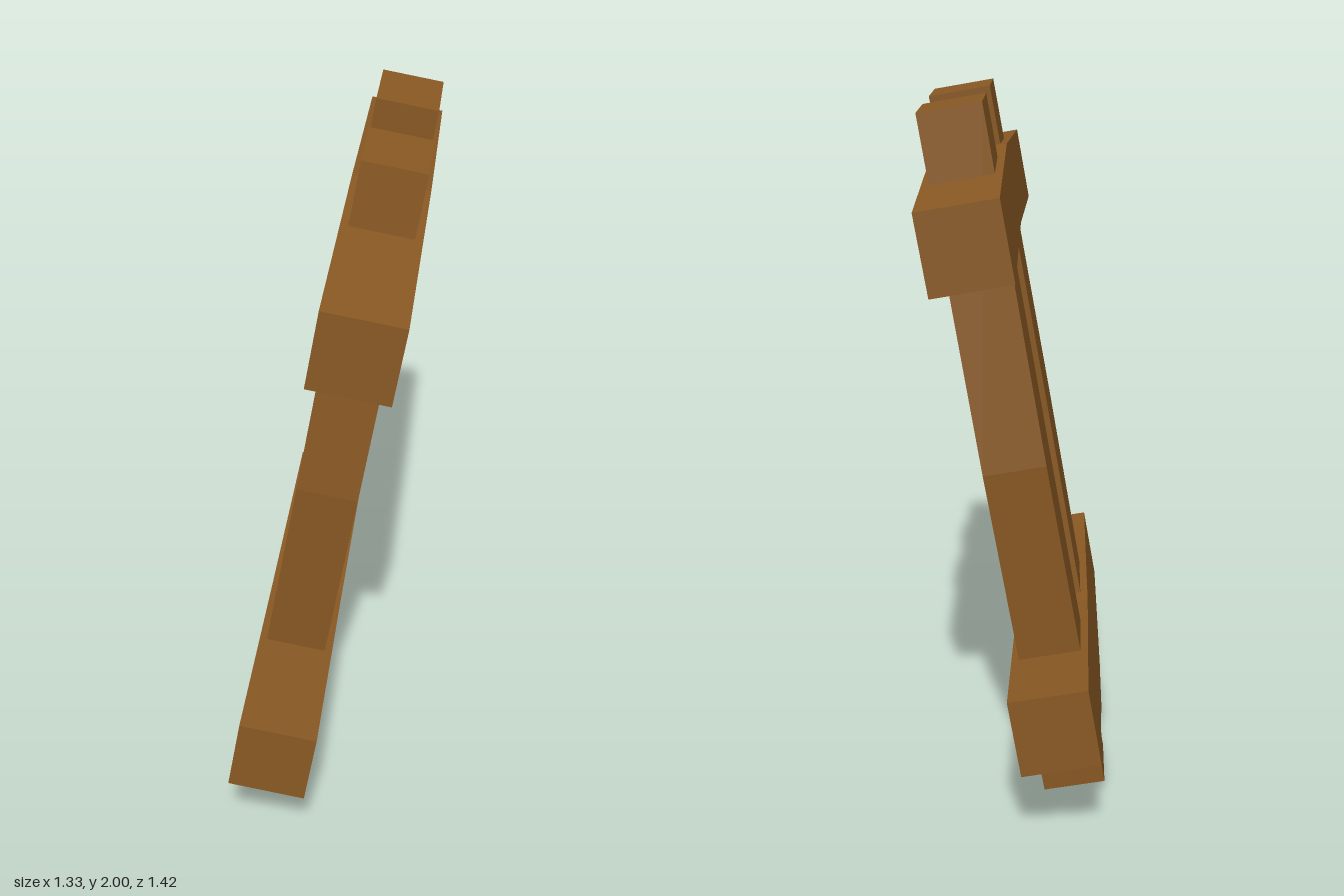
import * as THREE from 'three';

const wood = new THREE.MeshStandardMaterial({ color: 0x8b5a24, flatShading: true });

// A plank cut from a side outline, extruded through its thickness about z = 0.178
function plank(name, outline, thickness) {
  const shape = new THREE.Shape(outline.map(([x, y]) => new THREE.Vector2(x, y)));
  const geometry = new THREE.ExtrudeGeometry(shape, { depth: thickness, bevelEnabled: false });
  geometry.translate(0, 0, 0.178 - thickness / 2);
  const mesh = new THREE.Mesh(geometry, wood);
  mesh.name = name;
  return mesh;
}

// Horizontal rail: bottom and top heights at the ends and at the bent middle
function rail(name, endLow, endHigh, midLow, midHigh) {
  const half = 0.727;
  return plank(name, [
    [-half, endLow], [0, midLow], [half, endLow],
    [half, endHigh], [0, midHigh], [-half, endHigh],
  ], 0.222);
}

// Upright post: left and right edges at the foot, the bowed middle and the top
function post(name, foot, mid, top) {
  const y0 = -0.011, y1 = 0.987, y2 = 1.985;
  return plank(name, [
    [foot[0], y0], [foot[1], y0], [mid[1], y1],
    [top[1], y2], [top[0], y2], [mid[0], y1],
  ], 0.178);
}

export function createModel() {
  const model = new THREE.Group();
  model.name = 'woodenFrame';

  // The whole frame is turned about the vertical and leans back
  const frame = new THREE.Group();
  frame.name = 'leaningFrame';
  frame.rotation.set(THREE.MathUtils.degToRad(-10), THREE.MathUtils.degToRad(-48.6), 0, 'YXZ');
  model.add(frame);

  frame.add(
    rail('upperRail', 1.553, 1.775, 1.588, 1.82),
    rail('lowerRail', 0.209, 0.432, 0.161, 0.4),
    post('rightPost', [-0.398, -0.165], [-0.455, -0.198], [-0.405, -0.172]),
    post('leftPost', [0.053, 0.286], [0.08, 0.328], [0.045, 0.277]),
  );
  return model;
}
